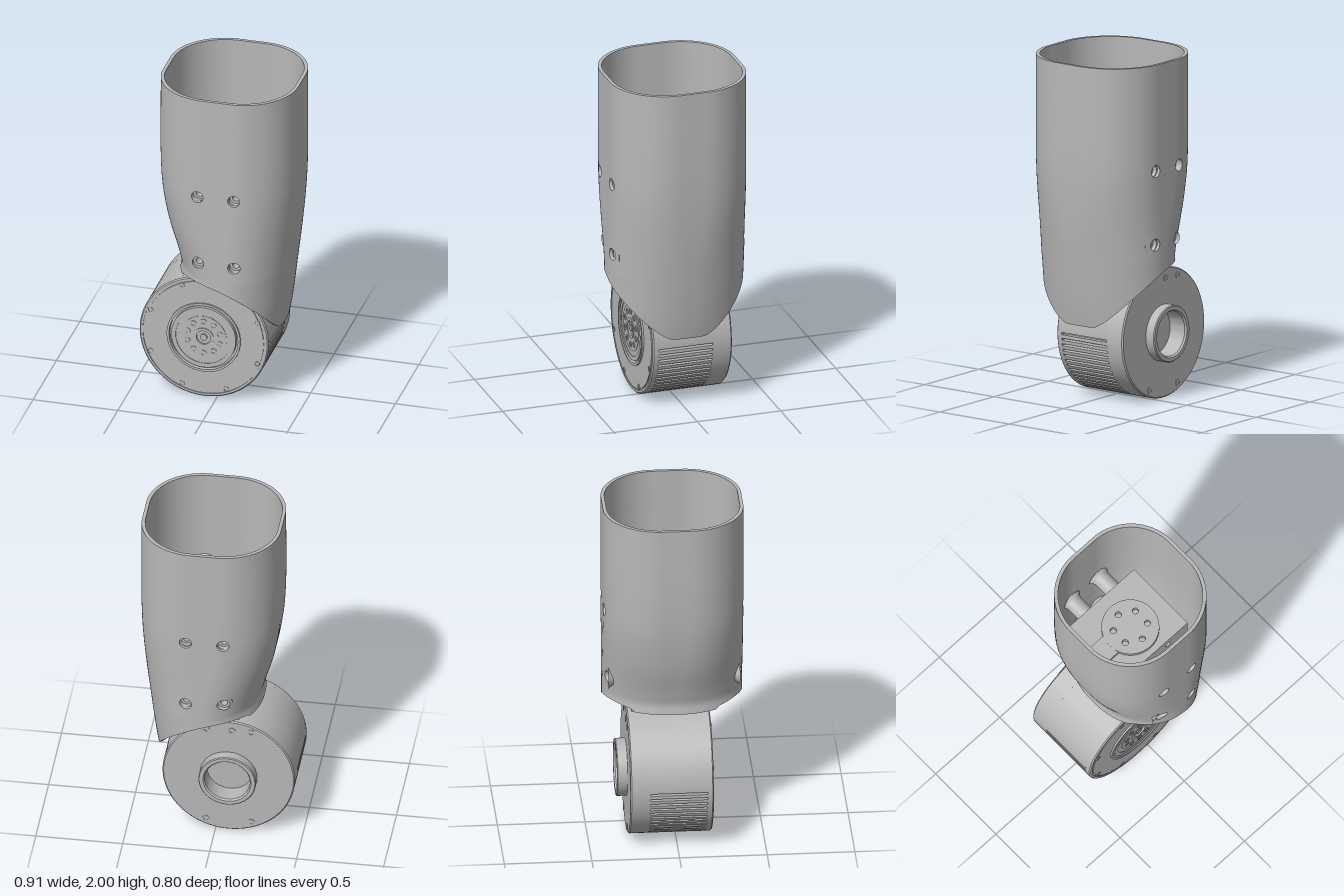
import * as THREE from 'three';
import { toCreasedNormals } from 'three/addons/utils/BufferGeometryUtils.js';

const metal = new THREE.MeshStandardMaterial({ color: 0xb8b8b8 });
metal.name = 'light grey';

function part(name, geo, parent, crease = 0.5) {
  const m = new THREE.Mesh(toCreasedNormals(geo, crease), metal);
  m.name = name;
  parent.add(m);
  return m;
}
// turned part with its axis along z; pts are [radius, z]
const turned = (pts, seg = 64) =>
  new THREE.LatheGeometry(pts.map(p => new THREE.Vector2(...p)), seg).rotateX(Math.PI / 2);

// plate in x/y from corner points with round holes [x, y, r], extruded from z0 to z1
function plate(pts, holes, z0, z1) {
  const s = new THREE.Shape(pts.map(p => new THREE.Vector2(...p)));
  for (const [x, y, r] of holes) s.holes.push(new THREE.Path().absarc(x, y, r, 0, Math.PI * 2, true));
  return new THREE.ExtrudeGeometry(s, { depth: z1 - z0, bevelEnabled: false, curveSegments: 16 }).translate(0, 0, z0);
}
const rect = (x0, y0, x1, y1) => [[x0, y0], [x1, y0], [x1, y1], [x0, y1]];

// ---- sleeve: left and right edges over height
const curve = pts => {
  const c = new THREE.CubicInterpolant(pts.map(p => p[0]), pts.map(p => p[1]), 1);
  return y => c.evaluate(y)[0];
};
const leftX = curve([[0.4, -0.25], [0.78, -0.245], [0.84, -0.237], [0.9, -0.25], [1.1, -0.305], [1.3, -0.338], [1.5, -0.35], [2, -0.35]]);
const rightX = curve([[0.4, 0.34], [0.46, 0.355], [0.6, 0.378], [0.8, 0.403], [1, 0.425], [1.2, 0.44], [1.45, 0.45], [2, 0.45]]);
const flat = y => 0.05 + 0.15 * THREE.MathUtils.smoothstep(y, 0.8, 1.4);
const WALL = 0.02, DEPTH = 0.4, HUB_X = -0.075, HUB_Y = 0.383;
const HOLES = [];
for (const y of [1.38, 0.95]) for (const x of [-0.06, 0.155]) for (const s of [1, -1]) HOLES.push({ x, y, s });

function sleeveGeometry() {
  // columns round the rounded-square section
  const corners = [[1, 1], [-1, 1], [-1, -1], [1, -1]], cols = [];
  corners.forEach((c, q) => {
    const n = corners[(q + 1) % 4];
    for (let i = 0; i <= 24; i++) {
      const a = (q + i / 24) * Math.PI / 2;
      cols.push([c[0], c[1], Math.cos(a), Math.sin(a)]);
    }
    const e = (q + 1) * Math.PI / 2;
    for (let i = 1; i < 4; i++) {
      const t = i / 4;
      cols.push([c[0] + (n[0] - c[0]) * t, c[1] + (n[1] - c[1]) * t, Math.cos(e), Math.sin(e)]);
    }
  });
  const N = cols.length, FIXED = 52, ROWS = 62;
  const dims = (y, inset) => [(leftX(y) + rightX(y)) / 2, (rightX(y) - leftX(y)) / 2 - inset, flat(y), DEPTH - inset];
  const point = (i, y, inset) => {
    const [c, h, k, d] = dims(y, inset), [sx, sz, co, si] = cols[i];
    return [c + h * (k * sx + (1 - k) * co), y, d * (k * sz + (1 - k) * si)];
  };
  const zAt = (x, y, inset) => {
    const [c, h, k, d] = dims(y, inset);
    const u = Math.max(0, (Math.abs((x - c) / h) - k) / (1 - k));
    return d * (k + (1 - k) * Math.sqrt(1 - u * u));
  };
  // lower edge follows a circle around the joint
  const cut = x => x < -0.18 ? 0.785
    : Math.max(0.46, HUB_Y + Math.sqrt(Math.max(0, 0.43 ** 2 - (x - HUB_X) ** 2)));
  const bottom = cols.map((_, i) => {
    let lo = 0.42, hi = 0.9;
    for (let n = 0; n < 30; n++) {
      const m = (lo + hi) / 2;
      if (m < cut(point(i, m, 0)[0])) lo = m; else hi = m;
    }
    return lo;
  });
  const rowY = (i, j) => j <= FIXED ? 2 - 1.13 * j / FIXED
    : 0.87 + (bottom[i] - 0.87) * (j - FIXED) / (ROWS - FIXED);
  const pos = [], idx = [];
  const add = p => pos.push(...p) / 3 - 1;
  const quad = (a, b, c, d) => idx.push(a, b, c, a, c, d);
  const layers = [0, WALL].map(inset => cols.map((_, i) =>
    Array.from({ length: ROWS + 1 }, (_, j) => add(point(i, rowY(i, j), inset)))));
  // blocks of cells replaced by rings around the screw holes
  const R = 3, skip = new Set();
  const blocks = HOLES.map(hole => {
    const j = Math.round((2 - hole.y) / 1.13 * FIXED);
    let best = 0, err = 9;
    cols.forEach((c, i) => {
      const p = point(i, hole.y, 0), e = Math.abs(p[0] - hole.x);
      if (p[2] * hole.s > 0.2 && e < err) { err = e; best = i; }
    });
    for (let a = -R; a < R; a++) for (let b = -R; b < R; b++) skip.add(`${(best + a + N) % N},${j + b}`);
    const ring = [];
    for (let t = -R; t < R; t++) ring.push([t, -R]);
    for (let t = -R; t < R; t++) ring.push([R, t]);
    for (let t = R; t > -R; t--) ring.push([t, R]);
    for (let t = R; t > -R; t--) ring.push([-R, t]);
    return { hole, ring: ring.map(([a, b]) => [(best + a + N) % N, j + b]) };
  });
  const [out, inn] = layers;
  for (let i = 0; i < N; i++) {
    const n = (i + 1) % N;
    for (let j = 0; j < ROWS; j++) {
      if (skip.has(`${i},${j}`)) continue;
      quad(out[i][j], out[n][j], out[n][j + 1], out[i][j + 1]);
      quad(inn[n][j], inn[i][j], inn[i][j + 1], inn[n][j + 1]);
    }
    quad(out[n][0], out[i][0], inn[i][0], inn[n][0]);
    quad(out[i][ROWS], out[n][ROWS], inn[n][ROWS], inn[i][ROWS]);
  }
  for (const { hole, ring } of blocks) {
    const circles = [0, WALL].map(inset => ring.map(([i, j]) => {
      const p = point(i, rowY(i, j), 0), dx = p[0] - hole.x, dy = p[1] - hole.y, s = 0.035 / Math.hypot(dx, dy);
      const x = hole.x + dx * s, y = hole.y + dy * s;
      return add([x, y, hole.s * zAt(x, y, inset)]);
    }));
    ring.forEach(([i, j], a) => {
      const b = (a + 1) % ring.length, [i2, j2] = ring[b], [co, ci] = circles;
      quad(out[i][j], out[i2][j2], co[b], co[a]);
      quad(inn[i2][j2], inn[i][j], ci[a], ci[b]);
      quad(co[a], co[b], ci[b], ci[a]);
    });
  }
  const g = new THREE.BufferGeometry();
  g.setAttribute('position', new THREE.Float32BufferAttribute(pos, 3));
  g.setIndex(idx);
  return g;
}

export function createModel() {
  const model = new THREE.Group();
  model.name = 'limbSegment';
  part('sleeve', sleeveGeometry(), model, 0.6);

  // screw bosses inside the sleeve
  for (const { x, y, s } of HOLES) {
    const end = s > 0 ? 0.28 : 0.245;
    const boss = part('screwBoss', turned([[0.035, -0.375], [0.035, -0.35], [0.02, -0.35], [0.02, -end], [0.05, -end],
      [0.05, -0.345], [0.056, -0.362], [0.07, -0.376]].reverse().map(([r, z]) => [r, -z]).reverse(), 24), model);
    boss.position.set(x, y, 0);
    if (s < 0) boss.rotation.y = Math.PI;
  }

  // inner block, its cap and the bracket down to the joint
  const bores = y => [[-0.06, y, 0.02], [0.155, y, 0.02]];
  part('innerBlock', plate(rect(-0.21, 1.1, 0.31, 1.45), bores(1.38), -0.245, 0.2), model);
  part('bracket', plate([[-0.13, 0.6], [0.2, 0.6], [0.23, 0.62], [0.25, 0.72], [0.25, 1.1], [-0.13, 1.1]],
    [...bores(0.95), [0.17, 0.695, 0.02]], -0.245, 0.17), model);
  const ring = [], capHoles = [];
  for (let i = 0; i < 48; i++) ring.push([0.165 * Math.cos(i * Math.PI / 24), 0.165 * Math.sin(i * Math.PI / 24)]);
  for (let i = 0; i < 6; i++) capHoles.push([0.1 * Math.sin(i * Math.PI / 3), 0.1 * Math.cos(i * Math.PI / 3), 0.018]);
  const cap = part('blockCap', plate(ring, capHoles, 0, 0.025), model);
  cap.rotation.x = -Math.PI / 2;
  cap.position.set(0.05, 1.45, 0);
  const tab = part('capTab', new THREE.BoxGeometry(0.2, 0.024, 0.13), model);
  tab.position.set(-0.18, 1.462, 0);

  // joint drive
  const drive = new THREE.Group();
  drive.name = 'jointDrive';
  drive.position.set(HUB_X, HUB_Y, 0);
  model.add(drive);
  part('driveHousing', turned([[0, -0.22], [0.13, -0.22], [0.13, -0.325], [0.138, -0.335], [0.16, -0.335], [0.165, -0.33],
    [0.165, -0.275], [0.373, -0.275], [0.38, -0.268], [0.38, -0.16], [0.35, -0.16], [0.35, 0.165], [0.38, 0.165],
    [0.38, 0.193], [0.373, 0.2], [0.36, 0.2], [0.36, 0.194], [0.352, 0.194], [0.352, 0.2], [0.217, 0.2], [0.217, 0.21],
    [0.203, 0.21], [0.203, 0.185], [0.19, 0.185], [0.19, 0.207], [0.165, 0.207], [0.165, 0.203], [0.135, 0.203],
    [0.135, 0.206], [0.06, 0.206], [0.06, 0.21], [0.042, 0.21], [0.042, 0.198], [0.02, 0.198], [0.02, 0.208], [0, 0.208]], 96), drive);

  // cooling slots round the lower half
  const fins = [], polar = (r, a) => fins.push([r * Math.cos(a), r * Math.sin(a)]);
  for (let i = 0; i < 72; i++) {
    const a = i * Math.PI / 36;
    if (i === 0 || i >= 36) {
      polar(0.38, a - 0.017); polar(0.352, a - 0.017);
      polar(0.352, a + 0.017); polar(0.38, a + 0.017);
    } else polar(0.38, a);
  }
  part('coolingFins', plate(fins, [], -0.16, 0.165), drive, 0.3);

  // screws on both faces
  const screw = (x, y, z, r) => {
    const m = part('screw', turned([[0, -0.005], [r, -0.005], [r, 0.003], [r * 0.65, 0.003], [r * 0.65, 0.0005], [0, 0.0005]], 16), drive);
    m.position.set(x, y, z);
    if (z < 0) m.rotation.y = Math.PI;
  };
  for (let i = 0; i < 8; i++) {
    const a = (i + 0.5) * Math.PI / 4;
    screw(0.34 * Math.cos(a), 0.34 * Math.sin(a), 0.2, 0.016);
  }
  for (let i = 0; i < 10; i++) {
    const a = (i + 0.5) * Math.PI / 5;
    screw(0.1 * Math.cos(a), 0.1 * Math.sin(a), 0.206, 0.018);
  }
  for (const [x, y] of [[0.13, 0.315], [-0.02, 0.315], [-0.13, 0.315], [0.13, -0.315], [-0.13, -0.315]]) screw(x, y, -0.275, 0.02);
  return model;
}
